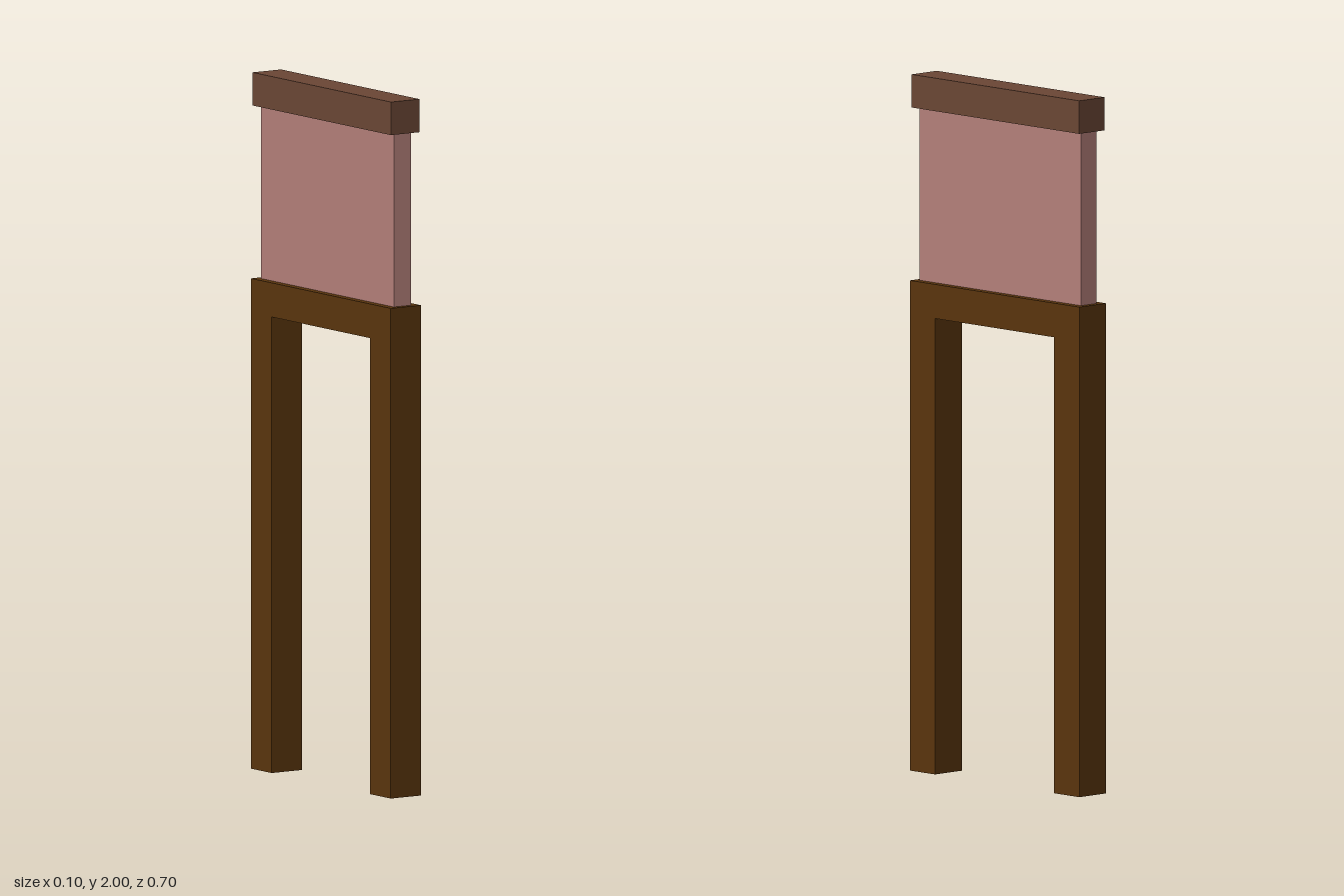
import * as THREE from 'three';

const material = (name, color, side = THREE.FrontSide) => {
  const m = new THREE.MeshStandardMaterial({ color, side });
  m.name = name;
  return m;
};

export function createModel() {
  const model = new THREE.Group();
  model.name = 'framedPanelStand';

  const frameWood = material('dark frame wood', 0x5a350d, THREE.DoubleSide);
  const capWood = material('reddish cap wood', 0x6b4735);
  const panelPink = material('dusty pink panel', 0xb5807a);

  const WIDTH = 0.105, LENGTH = 0.7, BEAM_BOTTOM = 1.31, BEAM_TOP = 1.408, CAP_BOTTOM = 1.905;

  // Box spanning bottom to top in y, centred on x = 0 and the given z
  const addBox = (name, mat, width, bottom, top, length, z = 0) => {
    const mesh = new THREE.Mesh(new THREE.BoxGeometry(width, top - bottom, length), mat);
    mesh.position.set(0, (bottom + top) / 2, z);
    mesh.name = name;
    model.add(mesh);
    return mesh;
  };

  // Two hollow legs: drop the top and bottom faces (indices 12 to 23)
  for (const [name, side] of [['frontLeg', 1], ['backLeg', -1]]) {
    const leg = addBox(name, frameWood, WIDTH, 0, BEAM_BOTTOM, 0.104, side * (LENGTH / 2 - 0.052));
    const index = Array.from(leg.geometry.index.array);
    index.splice(12, 12);
    leg.geometry.setIndex(index);
    leg.geometry.clearGroups();
  }

  // Beam joining the legs, panel above it and the cap rail on top
  addBox('crossBeam', frameWood, WIDTH, BEAM_BOTTOM, BEAM_TOP, LENGTH);
  addBox('panel', panelPink, 0.06, BEAM_TOP, CAP_BOTTOM, 0.666);
  addBox('capRail', capWood, 0.099, CAP_BOTTOM, 2, 0.693);

  return model;
}
